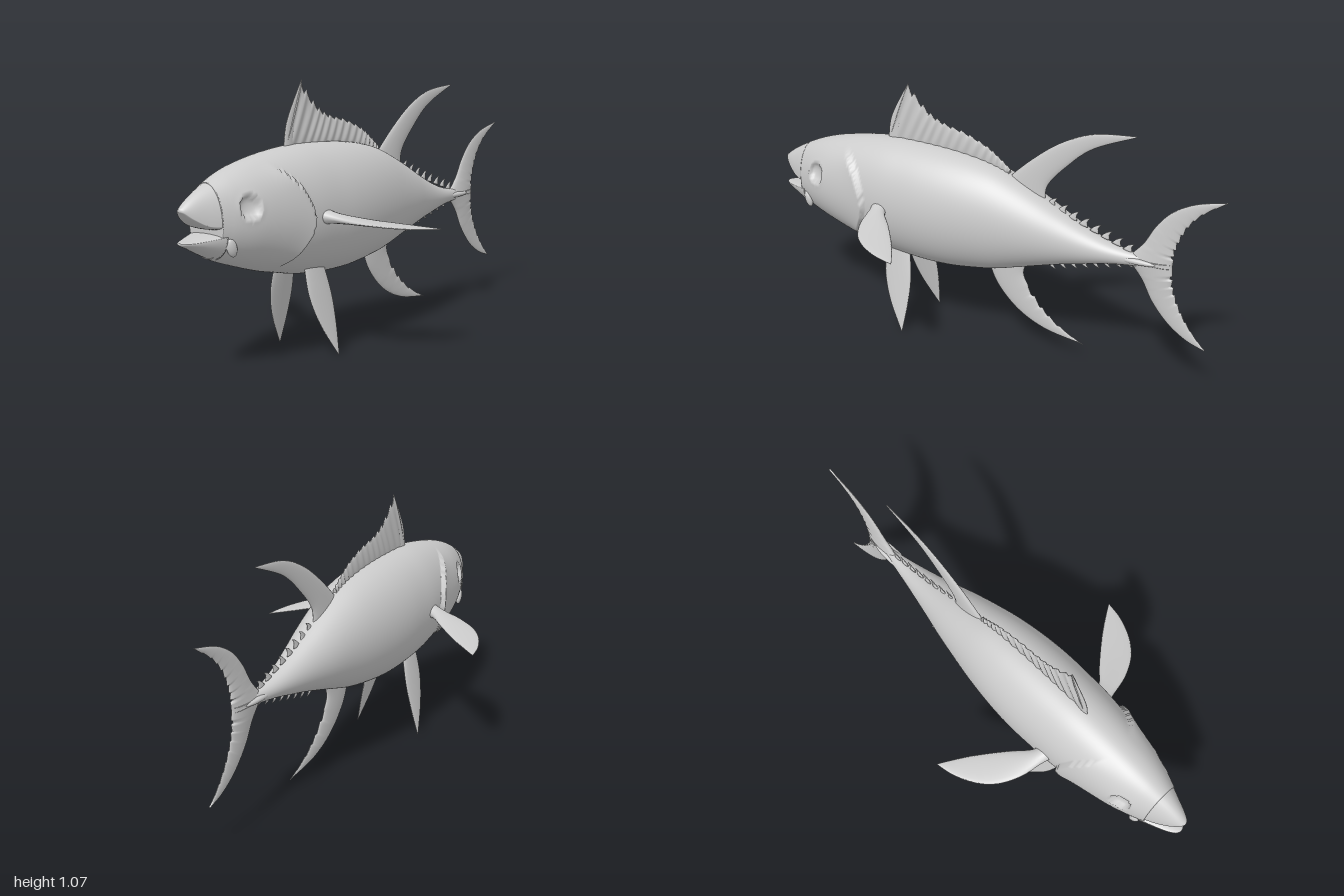
import * as THREE from 'three';

const material = new THREE.MeshStandardMaterial({ color: 0xcccccc, side: THREE.DoubleSide });

// Smooth interpolation of every column of a table, t from 0 to 1
const spline = (rows, t) => rows[0].map((_, k) =>
  new THREE.SplineCurve(rows.map((r, i) => new THREE.Vector2(i, r[k]))).getPoint(t).y);

// Closed skin over a row of rings, capped at both ends and facing outward
function skin(name, rings) {
  const n = rings[0].length, pos = [], idx = [];
  rings.forEach(r => r.forEach(p => pos.push(...p)));
  for (let i = 0; i < rings.length - 1; i++) {
    for (let j = 0; j < n; j++) {
      const a = i * n + j, b = i * n + (j + 1) % n;
      idx.push(a, b, a + n, b, b + n, a + n);
    }
  }
  [0, rings.length - 1].forEach((i, end) => {
    const ring = rings[i], c = pos.length / 3;
    pos.push(...[0, 1, 2].map(k => ring.reduce((s, p) => s + p[k], 0) / n));
    for (let j = 0; j < n; j++) {
      const a = i * n + j, b = i * n + (j + 1) % n;
      idx.push(...(end ? [a, b, c] : [b, a, c]));
    }
  });
  // Signed volume tells whether the faces must be turned round
  const v = i => new THREE.Vector3().fromArray(pos, i * 3);
  let volume = 0;
  for (let i = 0; i < idx.length; i += 3) volume += v(idx[i]).dot(v(idx[i + 1]).cross(v(idx[i + 2])));
  if (volume < 0) idx.reverse();
  const g = new THREE.BufferGeometry();
  g.setAttribute('position', new THREE.Float32BufferAttribute(pos, 3));
  g.setIndex(idx);
  g.computeVertexNormals();
  const mesh = new THREE.Mesh(g, material);
  mesh.name = name;
  return mesh;
}

// Loft along z from rows of [z, half width, bottom, widest height, top]
function loft(name, rows, nu, nv, shape = p => p) {
  const rings = [];
  for (let i = 0; i <= nu; i++) {
    const [z, w, yB, yM, yT] = spline(rows, i / nu);
    const ring = [];
    for (let j = 0; j < nv; j++) {
      const a = j / nv * Math.PI * 2, s = Math.sin(a);
      ring.push(shape([w * Math.cos(a), yM + s * (s > 0 ? yT - yM : yM - yB), z]));
    }
    rings.push(ring);
  }
  return skin(name, rings);
}

// Lens-section fin between two edges; place maps (p, q, thickness) to space
function fin(name, lead, trail, thick, place, { nu = 28, nv = 16, notch = () => 0 } = {}) {
  const rings = [];
  for (let i = 0; i <= nu; i++) {
    const u = i / nu, A = spline(lead, u), B = spline(trail, u), ring = [];
    for (let j = 0; j < nv; j++) {
      const a = j / nv * Math.PI * 2, c = (1 - Math.cos(a)) / 2 * (1 - notch(u));
      ring.push(place(A[0] + (B[0] - A[0]) * c, A[1] + (B[1] - A[1]) * c, Math.sin(a) * thick(u)));
    }
    rings.push(ring);
  }
  return skin(name, rings);
}

// Eye sockets and the raised rear edge of the gill covers
function sculptHead([x, y, z]) {
  const side = Math.sign(x), ax = Math.abs(x);
  if (ax < 0.01) return [x, y, z];
  let push = 0;
  const d = z - (0.5 + 3 * (y - 0.56) ** 2);
  if (d > 0 && z < 0.85) {
    push += 0.02 * Math.exp(-d / 0.09) * THREE.MathUtils.smoothstep(ax, 0.06, 0.14);
  }
  const e = Math.hypot(z - 0.78, y - 0.635) / 0.042;
  if (e < 1) push -= 0.026 * Math.sqrt(1 - e * e);
  else if (e < 1.5) push += 0.004 * (1.5 - e);
  return [x + side * push, y, z];
}

export function createModel() {
  const fish = new THREE.Group();
  fish.name = 'fish';

  fish.add(loft('body', [
    [-0.74, 0.012, 0.49, 0.515, 0.54], [-0.66, 0.024, 0.487, 0.513, 0.54],
    [-0.56, 0.044, 0.474, 0.517, 0.56], [-0.46, 0.066, 0.452, 0.524, 0.596],
    [-0.36, 0.09, 0.428, 0.535, 0.643], [-0.26, 0.115, 0.4, 0.547, 0.694],
    [-0.16, 0.136, 0.37, 0.556, 0.742], [-0.06, 0.155, 0.342, 0.562, 0.782],
    [0.04, 0.17, 0.325, 0.566, 0.805], [0.14, 0.18, 0.313, 0.567, 0.818],
    [0.24, 0.184, 0.31, 0.568, 0.825], [0.34, 0.182, 0.315, 0.57, 0.828],
    [0.44, 0.178, 0.325, 0.572, 0.827], [0.54, 0.168, 0.345, 0.575, 0.818],
    [0.64, 0.155, 0.367, 0.577, 0.803], [0.74, 0.137, 0.397, 0.579, 0.782],
    [0.82, 0.113, 0.423, 0.58, 0.757], [0.89, 0.086, 0.449, 0.58, 0.727],
  ], 210, 88, sculptHead));

  // Open mouth
  fish.add(loft('upperJaw', [
    [0.87, 0.093, 0.555, 0.575, 0.735], [0.93, 0.066, 0.568, 0.58, 0.706],
    [0.98, 0.041, 0.598, 0.607, 0.676], [1.01, 0.02, 0.626, 0.632, 0.653],
    [1.02, 0.005, 0.635, 0.638, 0.645],
  ], 24, 40));
  fish.add(loft('lowerJaw', [
    [0.87, 0.091, 0.443, 0.535, 0.546], [0.93, 0.066, 0.472, 0.528, 0.538],
    [0.98, 0.043, 0.498, 0.523, 0.53], [1.01, 0.023, 0.511, 0.522, 0.527],
    [1.02, 0.007, 0.517, 0.522, 0.525],
  ], 24, 40));

  // Fins on the middle plane, drawn as (z, y)
  const midPlane = (z, y, t) => [t, y, z];
  const saw = (u, n) => (u * n) % 1;
  fish.add(fin('firstDorsalFin',
    [[0.47, 0.81], [0.36, 0.81], [0.25, 0.81], [0.14, 0.805], [0.03, 0.79], [-0.05, 0.77], [-0.1, 0.75]],
    [[0.37, 1.07], [0.28, 0.975], [0.2, 0.93], [0.1, 0.905], [0, 0.865], [-0.06, 0.825], [-0.11, 0.785]],
    u => 0.006 + 0.003 * Math.cos(u * 15 * Math.PI * 2), midPlane,
    { nu: 150, notch: u => u < 0.01 ? 0 : 0.1 * saw(u, 15) }));
  // The spiny fin's front edge bulges forward slightly
  fish.add(fin('firstDorsalSpine', [[0.475, 0.81], [0.455, 0.92], [0.37, 1.073]],
    [[0.42, 0.81], [0.41, 0.92], [0.368, 1.065]], u => 0.008 - 0.006 * u, midPlane));
  fish.add(fin('secondDorsalFin',
    [[-0.07, 0.72], [-0.2, 0.84], [-0.33, 0.935], [-0.47, 0.995], [-0.643, 1.015]],
    [[-0.27, 0.66], [-0.275, 0.745], [-0.36, 0.845], [-0.47, 0.935], [-0.643, 1.01]],
    u => 0.014 * (1 - u) + 0.002, midPlane));
  fish.add(fin('analFin',
    [[0.0, 0.38], [-0.05, 0.265], [-0.15, 0.165], [-0.28, 0.105], [-0.45, 0.08]],
    [[-0.2, 0.41], [-0.175, 0.33], [-0.245, 0.225], [-0.33, 0.145], [-0.45, 0.077]],
    u => 0.014 * (1 - u) + 0.002, midPlane, { nu: 60, notch: u => u > 0.35 ? 0.12 * saw(u, 9) : 0 }));

  // Forked tail
  const tailOptions = { nu: 80, notch: u => u > 0.15 ? 0.1 * saw(u, 10) : 0 };
  const tailThick = u => 0.018 * (1 - u) ** 2 + 0.004;
  fish.add(fin('tailUpperLobe',
    [[-0.62, 0.51], [-0.69, 0.585], [-0.74, 0.67], [-0.805, 0.742], [-0.895, 0.792], [-1.015, 0.822]],
    [[-0.815, 0.505], [-0.822, 0.56], [-0.838, 0.62], [-0.87, 0.69], [-0.925, 0.755], [-1.013, 0.818]],
    tailThick, midPlane, tailOptions));
  fish.add(fin('tailLowerLobe',
    [[-0.62, 0.52], [-0.69, 0.44], [-0.74, 0.35], [-0.81, 0.27], [-0.89, 0.216], [-0.968, 0.19]],
    [[-0.815, 0.525], [-0.822, 0.46], [-0.835, 0.4], [-0.865, 0.33], [-0.91, 0.26], [-0.966, 0.194]],
    tailThick, midPlane, tailOptions));

  // Rows of finlets running to the tail
  for (let i = 0; i < 8; i++) {
    const z = -0.29 - i * 0.048, size = 0.024 - i * 0.0008;
    const top = 0.682 - i * 0.0195 + i * i * 0.0003, bottom = 0.41 + i * 0.0122 - i * i * 0.0001;
    [['upperFinlet', top, 1], ['lowerFinlet', bottom, -1]].forEach(([name, y, up]) => {
      fish.add(fin(name,
        [[z + 0.018, y - up * 0.012], [z - 0.008, y + up * size * 0.5], [z - 0.03, y + up * size * 0.85]],
        [[z - 0.022, y - up * 0.022], [z - 0.02, y], [z - 0.031, y + up * size * 0.8]],
        u => 0.005 * (1 - u) + 0.001, midPlane, { nu: 6, nv: 8 }));
    });
  }

  // Paired parts
  [['left', 1], ['right', -1]].forEach(([side, m]) => {
    fish.add(fin(side + 'PectoralFin',
      [[0.14, 0.47], [0.2, 0.447], [0.3, 0.424], [0.385, 0.38], [0.445, 0.315], [0.487, 0.226], [0.503, 0.143]],
      [[0.14, 0.37], [0.186, 0.38], [0.26, 0.315], [0.324, 0.262], [0.385, 0.215], [0.45, 0.172], [0.5, 0.142]],
      u => 0.035 * (1 - u) ** 5 + 0.009 * (1 - u) + 0.002,
      (x, z, t) => [m * x, 0.558 - (x - 0.18) * 0.1 + (z - 0.35) * 0.06 + t, z], { nu: 36 }));
    fish.add(fin(side + 'PelvicFin',
      [[0.445, 0.37], [0.447, 0.25], [0.41, 0.13], [0.337, 0.005]],
      [[0.335, 0.37], [0.315, 0.24], [0.318, 0.12], [0.333, 0.005]],
      u => 0.011 * (1 - u) + 0.002,
      (z, y, t) => [m * (0.078 + (0.35 - y) * 0.225 + t), y, z]));
    // Fleshy corner of the mouth
    const corner = new THREE.Mesh(new THREE.SphereGeometry(1, 20, 14), material);
    corner.name = side + 'MouthCorner';
    corner.scale.set(0.014, 0.036, 0.02);
    corner.position.set(m * 0.088, 0.495, 0.85);
    corner.rotation.set(0.3, m * -0.35, 0);
    fish.add(corner);
    // Keel at the tail root
    const keel = new THREE.Mesh(new THREE.SphereGeometry(1, 20, 12), material);
    keel.name = side + 'TailKeel';
    keel.scale.set(0.014, 0.012, 0.085);
    keel.position.set(m * 0.018, 0.514, -0.67);
    fish.add(keel);
  });

  // The whole fish is turned a little to one side
  fish.rotation.y = -0.203;
  fish.position.x = 0.035;
  const model = new THREE.Group();
  model.name = 'swimmingFish';
  model.add(fish);
  return model;
}
